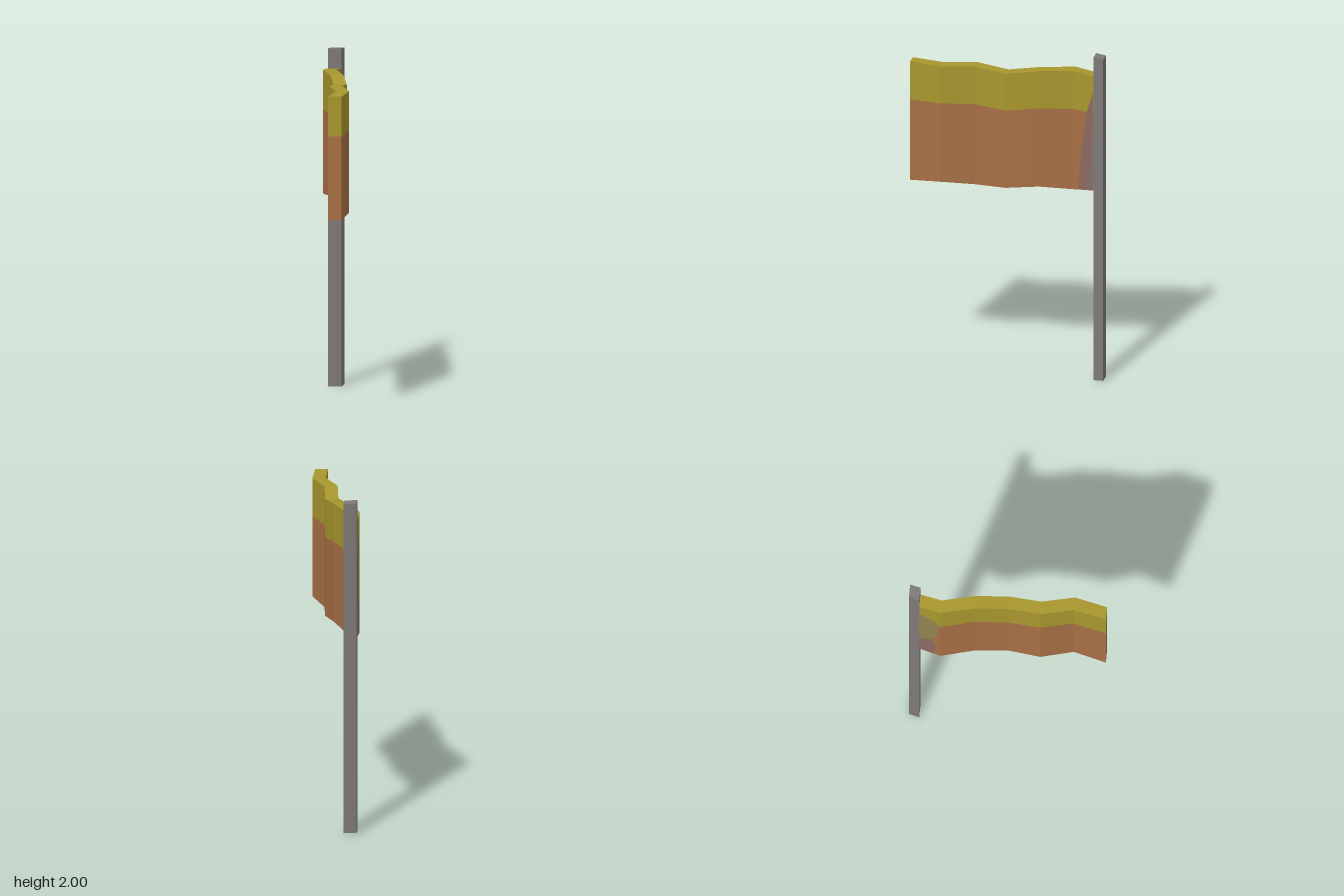
import * as THREE from 'three';

const paint = (name, color, opts = {}) => {
  const m = new THREE.MeshStandardMaterial({ color, ...opts });
  m.name = name;
  return m;
};

// Closed flat-shaded strip lofted through stations of { z, x, y0, y1 }
function loft(stations, halfWidth) {
  const pos = [];
  const quad = (a, b, c, d) => pos.push(...a, ...b, ...c, ...a, ...c, ...d);
  const rings = stations.map(({ z, x, y0, y1 }) => [
    [x - halfWidth, y0, z], [x + halfWidth, y0, z],
    [x + halfWidth, y1, z], [x - halfWidth, y1, z],
  ]);
  for (let i = 0; i < rings.length - 1; i++) {
    const a = rings[i], b = rings[i + 1];
    for (let k = 0; k < 4; k++) {
      const n = (k + 1) % 4;
      quad(a[k], a[n], b[n], b[k]);
    }
  }
  const first = rings[0], last = rings[rings.length - 1];
  quad(first[3], first[2], first[1], first[0]);
  quad(...last);
  const g = new THREE.BufferGeometry();
  g.setAttribute('position', new THREE.Float32BufferAttribute(pos, 3));
  g.computeVertexNormals();
  return g;
}

export function createModel() {
  const group = new THREE.Group();
  const grey = paint('pole grey', 0x7d7979);
  const olive = paint('olive yellow', 0xa8972e);
  const brown = paint('orange brown', 0xa86f45);
  const side = THREE.DoubleSide;
  const mauve = paint('mauve fade', 0x8e6a60, { side });
  const taupe = paint('grey fade', 0x807270, { side });
  const moss = paint('moss fade', 0x8f8350, { side });

  const add = (name, geometry, material) => {
    const mesh = new THREE.Mesh(geometry, material);
    mesh.name = name;
    group.add(mesh);
  };

  // Slightly skewed square pole at the back
  add('pole', loft([
    { z: -0.577, x: 0, y0: 0.005, y1: 1.995 },
    { z: -0.515, x: -0.015, y0: 0, y1: 2 },
  ], 0.039), grey);

  // Waving cloth: z, centre x, bottom, colour border, top
  const wave = [
    [-0.515, -0.015, 1.175, 1.655, 1.882],
    [-0.387, -0.045, 1.163, 1.66, 1.895],
    [-0.193, 0, 1.18, 1.665, 1.895],
    [0, 0.023, 1.165, 1.642, 1.872],
    [0.193, 0, 1.165, 1.662, 1.895],
    [0.385, 0.043, 1.18, 1.665, 1.895],
    [0.577, 0, 1.163, 1.66, 1.895],
  ];
  add('lowerCloth', loft(wave.map(([z, x, y0, y1]) => ({ z, x, y0, y1 })), 0.039), brown);
  add('upperCloth', loft(wave.map(([z, x, , y0, y1]) => ({ z, x, y0, y1 })), 0.039), olive);

  // Faded patches laid on the cloth panel nearest the pole
  function patch(name, sideSign, lift, points, material) {
    const shape = new THREE.Shape(points.map(([z, y]) => new THREE.Vector2(z, y)));
    const g = new THREE.ShapeGeometry(shape);
    const p = g.attributes.position;
    for (let i = 0; i < p.count; i++) {
      const z = p.getX(i);
      const x = -0.015 - 0.03 * (z + 0.515) / 0.128 + sideSign * (0.039 + lift);
      p.setXYZ(i, x, p.getY(i), z);
    }
    const flat = g.toNonIndexed();
    // Wind the triangles so they face away from the cloth
    const q = flat.attributes.position;
    flat.computeVertexNormals();
    if (flat.attributes.normal.getX(0) * sideSign < 0) {
      for (let i = 0; i < q.count; i += 3) {
        const a = new THREE.Vector3().fromBufferAttribute(q, i);
        const b = new THREE.Vector3().fromBufferAttribute(q, i + 1);
        q.setXYZ(i, b.x, b.y, b.z);
        q.setXYZ(i + 1, a.x, a.y, a.z);
      }
      flat.computeVertexNormals();
    }
    add(name, flat, material);
  }
  patch('leftMauveFade', 1, 0.002,
    [[-0.515, 1.18], [-0.42, 1.17], [-0.44, 1.42], [-0.475, 1.66], [-0.515, 1.79]], mauve);
  patch('leftGreyFade', 1, 0.004,
    [[-0.515, 1.18], [-0.485, 1.175], [-0.5, 1.42], [-0.515, 1.62]], taupe);
  patch('rightMossFade', -1, 0.002,
    [[-0.515, 1.36], [-0.44, 1.4], [-0.405, 1.5], [-0.405, 1.7], [-0.515, 1.78]], moss);
  patch('rightMauveFade', -1, 0.002,
    [[-0.515, 1.18], [-0.43, 1.17], [-0.415, 1.3], [-0.44, 1.4], [-0.515, 1.36]], mauve);

  return group;
}
